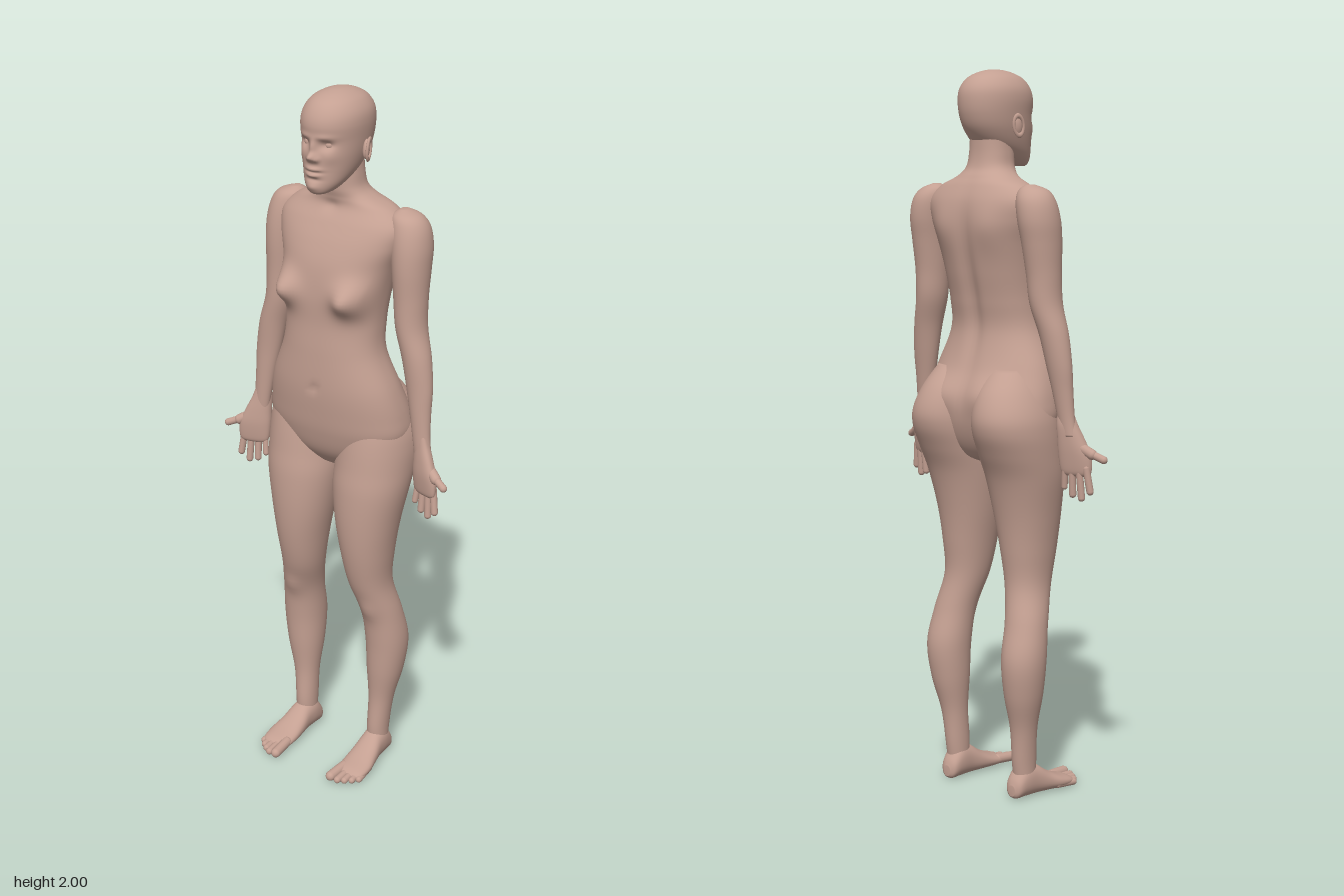
import * as THREE from 'three';

const skin = new THREE.MeshStandardMaterial({ color: 0xc4a092 });
skin.name = 'skin';

// Catmull-Rom interpolation through rows of section parameters
function resample(rows, steps) {
  const out = [], n = rows.length;
  for (let i = 0; i < n - 1; i++) {
    for (let k = 0; k < steps; k++) {
      const t = k / steps;
      const [a, b, c, d] = [-1, 0, 1, 2].map(o => rows[Math.min(n - 1, Math.max(0, i + o))]);
      out.push(b.map((_, j) => 0.5 * (2 * b[j] + (c[j] - a[j]) * t
        + (2 * a[j] - 5 * b[j] + 4 * c[j] - d[j]) * t * t
        + (3 * b[j] - a[j] - 3 * c[j] + d[j]) * t * t * t)));
    }
  }
  out.push(rows[n - 1]);
  return out;
}

// Skin over rings [along, centreX, halfWidth, high, low].
// Axis 'y': rings rise in y, high/low are front/back z. Axis 'z': rings run back in z, high/low are y.
// Bumps are soft swellings [x, y, spreadX, spreadY, amount, side], mirrored in x when off centre.
function loft(name, rows, { axis = 'y', seg = 40, steps = 6, power = 1, side = 1, bumps = [], shear = 0 } = {}) {
  const pos = [], index = [], rings = resample(rows, steps);
  const pw = v => Math.sign(v) * Math.abs(v) ** power;
  const put = (x, u, h) => (axis === 'y' ? pos.push(x, u, h) : pos.push(x, h, u));
  for (const [u, cx, rx, hi, lo] of rings) {
    for (let j = 0; j < seg; j++) {
      const a = j / seg * Math.PI * 2, c = pw(Math.cos(a)), s = pw(Math.sin(a));
      const x = cx * side + rx * c;
      let h = (hi + lo) / 2 + (hi - lo) / 2 * s + shear * side * rx * c;
      for (const [bx, by, sx, sy, amount, face] of bumps) {
        const w = Math.min(1, Math.max(0, 2 * Math.sin(a) * face));
        const dx = (Math.abs(x) - bx) / sx, dy = (u - by) / sy;
        h += face * amount * w * Math.exp(-dx * dx - dy * dy);
      }
      put(x, u, h);
    }
  }
  const last = rings.length - 1;
  for (let i = 0; i < last; i++) {
    for (let j = 0; j < seg; j++) {
      const a = i * seg + j, b = i * seg + (j + 1) % seg;
      index.push(a, a + seg, b, b, a + seg, b + seg);
    }
  }
  // End caps
  const cap = pos.length / 3;
  for (const i of [0, last]) {
    const [u, cx, , hi, lo] = rings[i];
    put(cx * side, u, (hi + lo) / 2);
  }
  for (let j = 0; j < seg; j++) {
    const k = (j + 1) % seg;
    index.push(cap, j, k, cap + 1, last * seg + k, last * seg + j);
  }
  const g = new THREE.BufferGeometry();
  g.setAttribute('position', new THREE.Float32BufferAttribute(pos, 3));
  g.setIndex(index);
  g.computeVertexNormals();
  return named(name, g);
}

function named(name, geometry) {
  const m = new THREE.Mesh(geometry, skin);
  m.name = name;
  return m;
}

// Rounded digit between two points
function digit(name, a, b, r) {
  const from = new THREE.Vector3(...a), to = new THREE.Vector3(...b);
  const dir = to.clone().sub(from);
  const m = named(name, new THREE.CapsuleGeometry(r, dir.length(), 6, 14));
  m.position.copy(from).add(to).multiplyScalar(0.5);
  m.quaternion.setFromUnitVectors(new THREE.Vector3(0, 1, 0), dir.normalize());
  return m;
}

const TRUNK = [
  [0.935, 0, 0.02, 0, -0.06], [0.955, 0, 0.08, 0.035, -0.1], [1.0, 0, 0.17, 0.07, -0.13],
  [1.06, 0, 0.212, 0.09, -0.148], [1.12, 0, 0.211, 0.1, -0.146], [1.2, 0, 0.19, 0.107, -0.118],
  [1.3, 0, 0.15, 0.105, -0.095], [1.38, 0, 0.143, 0.1, -0.105], [1.46, 0, 0.15, 0.1, -0.122],
  [1.54, 0, 0.165, 0.09, -0.136], [1.6, 0, 0.185, 0.07, -0.14], [1.65, 0, 0.19, 0.045, -0.135],
  [1.69, 0, 0.15, 0.022, -0.12], [1.715, 0, 0.095, 0.022, -0.105], [1.74, 0, 0.068, 0.028, -0.09],
  [1.78, 0, 0.06, 0.03, -0.083], [1.84, 0, 0.055, 0.03, -0.083]];
const TRUNK_BUMPS = [
  [0.105, 1.465, 0.045, 0.043, 0.05, 1], [0, 1.2, 0.01, 0.012, -0.007, 1],
  [0, 1.4, 0.025, 0.2, -0.014, -1], [0.085, 1.58, 0.05, 0.06, 0.01, -1],
  [0.08, 1.13, 0.06, 0.05, 0.016, -1], [0, 1.69, 0.02, 0.015, -0.006, 1]];
const HEAD = [
  [1.742, 0, 0.02, 0.095, 0.05], [1.75, 0, 0.035, 0.102, 0.02], [1.77, 0, 0.052, 0.104, -0.02],
  [1.8, 0, 0.066, 0.103, -0.07], [1.84, 0, 0.077, 0.102, -0.105], [1.88, 0, 0.083, 0.1, -0.121],
  [1.92, 0, 0.086, 0.103, -0.125], [1.95, 0, 0.081, 0.094, -0.119], [1.975, 0, 0.065, 0.074, -0.1],
  [1.99, 0, 0.043, 0.045, -0.072], [1.998, 0, 0.02, 0.013, -0.042], [2, 0, 0.002, -0.012, -0.016]];
// Nose, eye sockets, brow, lips, chin, cheeks
const FACE = [
  [0, 1.868, 0.01, 0.02, 0.01, 1], [0, 1.842, 0.013, 0.011, 0.02, 1], [0.014, 1.836, 0.007, 0.007, 0.006, 1],
  [0.033, 1.873, 0.017, 0.012, -0.012, 1], [0.03, 1.893, 0.025, 0.008, 0.004, 1],
  [0, 1.81, 0.021, 0.005, 0.008, 1], [0, 1.802, 0.022, 0.0025, -0.005, 1], [0, 1.794, 0.018, 0.005, 0.008, 1],
  [0, 1.782, 0.02, 0.005, -0.004, 1], [0, 1.763, 0.02, 0.011, 0.006, 1], [0.045, 1.843, 0.018, 0.018, 0.004, 1]];
const LEG = [
  [0.03, 0.13, 0.028, 0, -0.06], [0.1, 0.13, 0.03, 0.005, -0.07], [0.2, 0.135, 0.036, 0, -0.08],
  [0.3, 0.142, 0.052, 0.008, -0.105], [0.4, 0.145, 0.06, 0.014, -0.115], [0.5, 0.137, 0.058, 0.028, -0.092],
  [0.6, 0.117, 0.06, 0.063, -0.072], [0.7, 0.112, 0.073, 0.085, -0.08], [0.8, 0.11, 0.09, 0.095, -0.095],
  [0.9, 0.112, 0.106, 0.095, -0.12], [0.97, 0.114, 0.11, 0.087, -0.152], [1.03, 0.115, 0.11, 0.08, -0.178],
  [1.08, 0.113, 0.105, 0.072, -0.181], [1.14, 0.105, 0.09, 0.06, -0.157], [1.2, 0.1, 0.06, 0.03, -0.11]];
const ARM = [
  [1.03, 0.276, 0.026, 0, -0.035], [1.08, 0.268, 0.026, 0, -0.04], [1.15, 0.26, 0.031, 0, -0.05],
  [1.22, 0.252, 0.038, 0, -0.062], [1.3, 0.238, 0.041, 0.003, -0.075], [1.38, 0.216, 0.042, 0.005, -0.09],
  [1.46, 0.21, 0.045, 0.005, -0.097], [1.54, 0.207, 0.05, 0.008, -0.11], [1.6, 0.203, 0.054, 0.005, -0.12],
  [1.65, 0.195, 0.052, -0.005, -0.117], [1.68, 0.185, 0.04, -0.02, -0.1], [1.695, 0.175, 0.01, -0.05, -0.075]];
const PALM = [
  [0.922, 0.292, 0.03, 0.004, -0.012], [0.935, 0.292, 0.041, 0.01, -0.02], [0.98, 0.289, 0.043, 0.013, -0.028],
  [1.02, 0.281, 0.035, 0.008, -0.034], [1.06, 0.272, 0.026, 0, -0.038], [1.09, 0.267, 0.02, -0.005, -0.035]];
const FOOT = [
  [0.137, 0.134, 0.028, 0.02, 0.008], [0.12, 0.135, 0.043, 0.03, 0.002], [0.08, 0.135, 0.046, 0.043, 0],
  [0.04, 0.132, 0.041, 0.062, 0], [0, 0.13, 0.035, 0.088, 0], [-0.04, 0.128, 0.033, 0.095, 0],
  [-0.07, 0.127, 0.027, 0.062, 0], [-0.081, 0.127, 0.012, 0.038, 0.008]];

export function createModel() {
  const model = new THREE.Group();
  model.name = 'figure';
  model.add(loft('trunk', TRUNK, { seg: 96, steps: 8, power: 0.88, bumps: TRUNK_BUMPS }));
  model.add(loft('head', HEAD, { seg: 128, steps: 12, power: 0.95, bumps: FACE }));

  for (const side of [1, -1]) {
    const label = side > 0 ? 'left' : 'right';
    const add = (...parts) => model.add(...parts);

    // Eyes and ears
    const eye = named(label + 'Eye', new THREE.SphereGeometry(0.012, 20, 14));
    eye.position.set(side * 0.032, 1.872, 0.073);
    const ear = new THREE.Group();
    ear.name = label + 'Ear';
    const lobe = named('earShell', new THREE.SphereGeometry(1, 20, 14));
    lobe.scale.set(0.009, 0.026, 0.014);
    const rim = named('earRim', new THREE.TorusGeometry(0.015, 0.004, 8, 28));
    rim.rotation.y = Math.PI / 2;
    rim.scale.y = 1.75;
    rim.position.x = side * 0.007;
    ear.add(lobe, rim);
    ear.position.set(side * 0.085, 1.85, -0.015);
    ear.rotation.set(-0.15, side * 0.3, 0);
    add(eye, ear);

    // Limbs
    add(loft(label + 'Leg', LEG, { side, seg: 48, power: 0.96, bumps: [[0.132, 0.515, 0.03, 0.03, 0.008, 1]] }));
    add(loft(label + 'Foot', FOOT, { side, axis: 'z', power: 0.9 }));
    add(loft(label + 'Arm', ARM, { side }));
    add(loft(label + 'Palm', PALM, { side, power: 0.85, shear: 0.3 }));

    // Fingers from little to index, then the thumb
    const tips = [[0.257, 0.89], [0.281, 0.871], [0.307, 0.863], [0.332, 0.882]];
    tips.forEach(([x, y], i) => add(digit(label + 'Finger' + (i + 1),
      [side * (0.263 + i * 0.02), 0.945, -0.018 + i * 0.006],
      [side * x, y, -0.012 + i * 0.006], i ? 0.0098 : 0.0085)));
    add(digit(label + 'ThumbBase', [side * 0.3, 1.005, -0.008], [side * 0.335, 0.983, 0.008], 0.0145));
    add(digit(label + 'Thumb', [side * 0.33, 0.986, 0.006], [side * 0.367, 0.97, 0.02], 0.0105));

    // Toes from big to small
    const toes = [[0.1, 0.167, 0.0145], [0.124, 0.167, 0.0105], [0.142, 0.157, 0.01], [0.159, 0.144, 0.0095], [0.173, 0.128, 0.0095]];
    toes.forEach(([x, z, r], i) => add(digit(label + 'Toe' + (i + 1),
      [side * (x * 0.85 + 0.02), r + 0.005, z - 0.06], [side * x, r + 0.001, z], r)));
  }
  return model;
}
